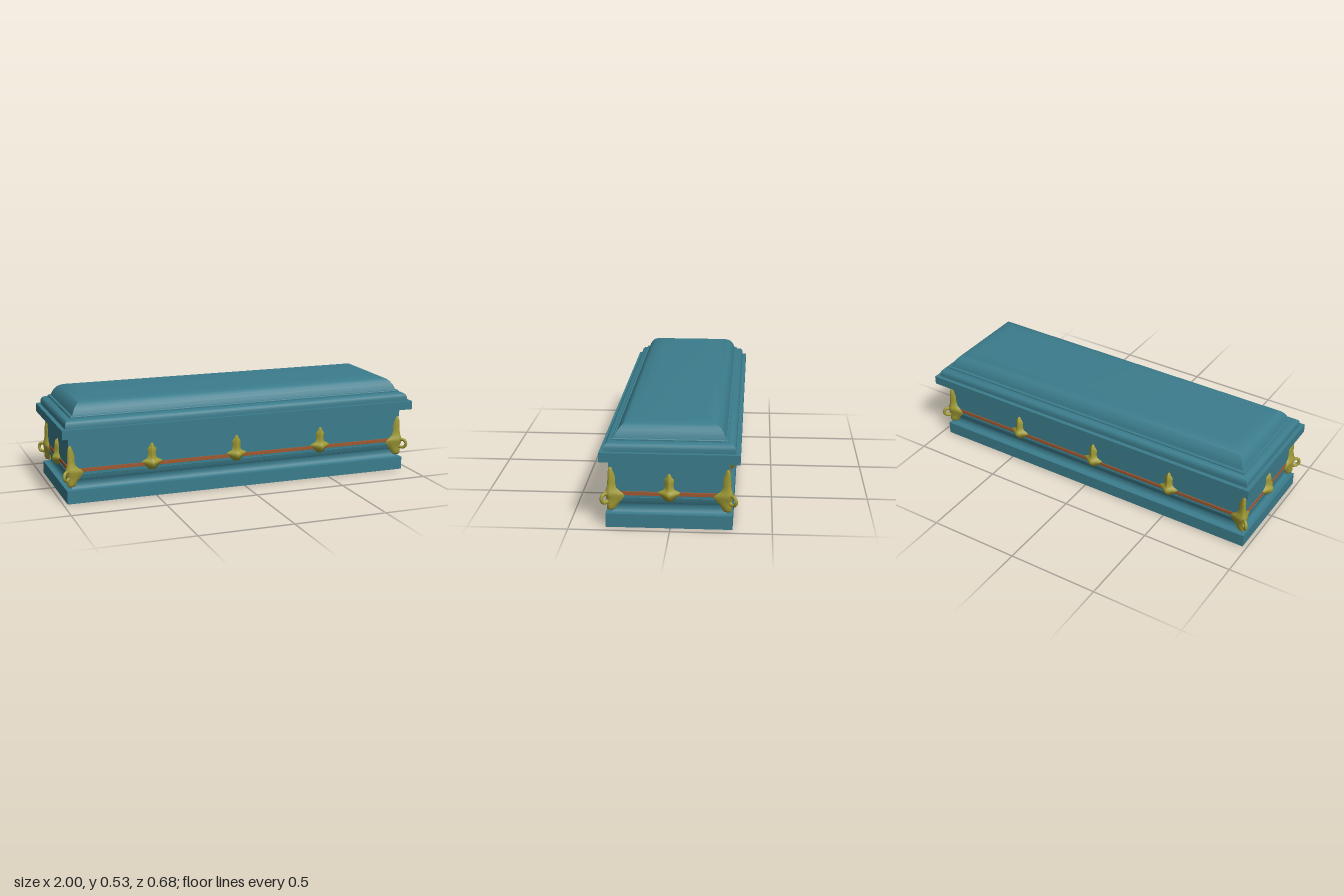
import * as THREE from 'three';
import { toCreasedNormals } from 'three/addons/utils/BufferGeometryUtils.js';

const teal = new THREE.MeshStandardMaterial({ color: 0x3b7c8c });
const copper = new THREE.MeshStandardMaterial({ color: 0xa0582f });
const brass = new THREE.MeshStandardMaterial({ color: 0xa09a35, side: THREE.DoubleSide });

// Stack of rectangles: each profile entry is [inset from the half sizes, y]
function rectLoft(name, hx, hz, profile, material) {
  const corners = [[1, 1], [1, -1], [-1, -1], [-1, 1]];
  const pos = [], idx = [];
  for (const [inset, y] of profile)
    for (const [sx, sz] of corners) pos.push(sx * (hx - inset), y, sz * (hz - inset));
  const last = (profile.length - 1) * 4;
  for (let r = 0; r < last; r += 4)
    for (let i = 0; i < 4; i++) {
      const j = (i + 1) % 4;
      idx.push(r + i, r + j, r + 4 + j, r + i, r + 4 + j, r + 4 + i);
    }
  idx.push(0, 2, 1, 0, 3, 2, last, last + 1, last + 2, last, last + 2, last + 3);
  const geo = new THREE.BufferGeometry();
  geo.setAttribute('position', new THREE.Float32BufferAttribute(pos, 3));
  geo.setIndex(idx);
  const mesh = new THREE.Mesh(toCreasedNormals(geo, 0.6), material);
  mesh.name = name;
  return mesh;
}

// Open shell: rows are [y, halfWidth, depth]; section(w, t) gives the [x, z] points
function shell(rows, section) {
  const pos = [], idx = [];
  let n = 0;
  for (const [y, w, t] of rows) {
    const pts = section(w, t);
    n = pts.length;
    for (const [x, z] of pts) pos.push(x, y, z);
  }
  for (let r = 0; r < rows.length - 1; r++)
    for (let i = 0; i < n - 1; i++) {
      const a = r * n + i, b = a + 1, c = a + n, d = c + 1;
      idx.push(a, b, d, a, d, c);
    }
  const geo = new THREE.BufferGeometry();
  geo.setAttribute('position', new THREE.Float32BufferAttribute(pos, 3));
  geo.setIndex(idx);
  geo.computeVertexNormals();
  return geo;
}

// Raised leaf section on a flat wall
const leafSection = (w, t) => [[-w, -0.004], [-w * 0.9, t * 0.2], [-w * 0.5, t * 0.55], [-w * 0.22, t * 0.9],
  [0, t], [w * 0.22, t * 0.9], [w * 0.5, t * 0.55], [w * 0.9, t * 0.2], [w, -0.004]];

// Section that wraps a corner at the origin, outward being +x and +z
const cornerSection = (w, t) => [[-w, -0.006], [-w * 0.9, t * 0.25], [-w * 0.45, t * 0.6], [0, t],
  [t * 0.85, t * 0.85], [t, 0], [t * 0.6, -w * 0.45], [t * 0.25, -w * 0.9], [-0.006, -w]];

export function createModel() {
  const model = new THREE.Group();
  const body = new THREE.Group();
  body.name = 'body';
  body.position.set(-0.01, 0, 0.006);
  model.add(body);

  // Plinth, cove, moulding, wall and top band with a shallow recess underneath
  body.add(rectLoft('case', 0.968, 0.312, [
    [0.055, 0.004], [0.052, 0], [0, 0], [0, 0.07], [0.022, 0.07], [0.03, 0.075], [0.035, 0.083],
    [0.038, 0.094], [0.038, 0.11], [0.034, 0.118], [0.029, 0.12], [0.024, 0.133], [0.021, 0.149],
    [0.024, 0.15], [0.024, 0.305], [0.016, 0.306], [0.016, 0.345]], teal));
  body.add(rectLoft('stripe', 0.968, 0.312,
    [[0.026, 0.159], [0.02, 0.161], [0.02, 0.179], [0.026, 0.181]], copper));

  // Stepped, domed lid
  model.add(rectLoft('lid', 1, 0.341, [
    [0, 0.351], [0, 0.398], [0.022, 0.398], [0.022, 0.418], [0.026, 0.43], [0.034, 0.438],
    [0.046, 0.443], [0.057, 0.445], [0.057, 0.451], [0.061, 0.455], [0.071, 0.455], [0.077, 0.472],
    [0.085, 0.487], [0.097, 0.503], [0.111, 0.514], [0.132, 0.523], [0.16, 0.529], [0.2, 0.531]], teal));

  const wallX = 0.944, wallZ = 0.288;

  // Small ornaments: three on each long side and one on each end
  const leaf = shell([
    [0.132, 0.008, 0], [0.134, 0.02, 0.013], [0.147, 0.032, 0.026], [0.16, 0.044, 0.034],
    [0.17, 0.054, 0.036], [0.179, 0.058, 0.033], [0.186, 0.043, 0.028], [0.194, 0.027, 0.024],
    [0.21, 0.023, 0.021], [0.23, 0.024, 0.021], [0.245, 0.026, 0.019], [0.252, 0.018, 0.018],
    [0.262, 0.012, 0.016], [0.27, 0.008, 0.012], [0.275, 0.004, 0]], leafSection);
  const addLeaf = (x, y, z, turn) => {
    const mesh = new THREE.Mesh(leaf, brass);
    mesh.name = 'sideOrnament';
    mesh.position.set(x, y, z);
    mesh.rotation.y = turn;
    body.add(mesh);
  };
  for (const s of [1, -1]) {
    for (const x of [-0.505, -0.03, 0.465]) addLeaf(x, 0.007, s * wallZ, s > 0 ? 0 : Math.PI);
    addLeaf(s * wallX, 0, 0, s * Math.PI / 2);
  }

  // Corner ornaments, each with a ring standing on the diagonal
  const cornerLeaf = shell([
    [0.083, 0.008, 0.002], [0.086, 0.02, 0.013], [0.098, 0.03, 0.019], [0.115, 0.038, 0.019],
    [0.13, 0.054, 0.018], [0.147, 0.068, 0.021], [0.162, 0.075, 0.025], [0.172, 0.066, 0.026],
    [0.183, 0.046, 0.024], [0.197, 0.031, 0.019], [0.22, 0.025, 0.015], [0.25, 0.026, 0.014],
    [0.268, 0.021, 0.013], [0.285, 0.014, 0.011], [0.298, 0.01, 0.008], [0.307, 0.006, 0.001]], cornerSection);
  const ringGeo = new THREE.TorusGeometry(0.023, 0.0085, 10, 28);
  for (const sx of [1, -1])
    for (const sz of [1, -1]) {
      const corner = new THREE.Group();
      corner.name = 'cornerOrnament';
      corner.position.set(sx * wallX, 0, sz * wallZ);
      corner.scale.set(sx, 1, sz);
      const plate = new THREE.Mesh(cornerLeaf, brass);
      plate.name = 'cornerPlate';
      const ring = new THREE.Mesh(ringGeo, brass);
      ring.name = 'cornerRing';
      ring.position.set(0.024, 0.15, 0.024);
      ring.rotation.y = -Math.PI / 4;
      corner.add(plate, ring);
      body.add(corner);
    }
  return model;
}
